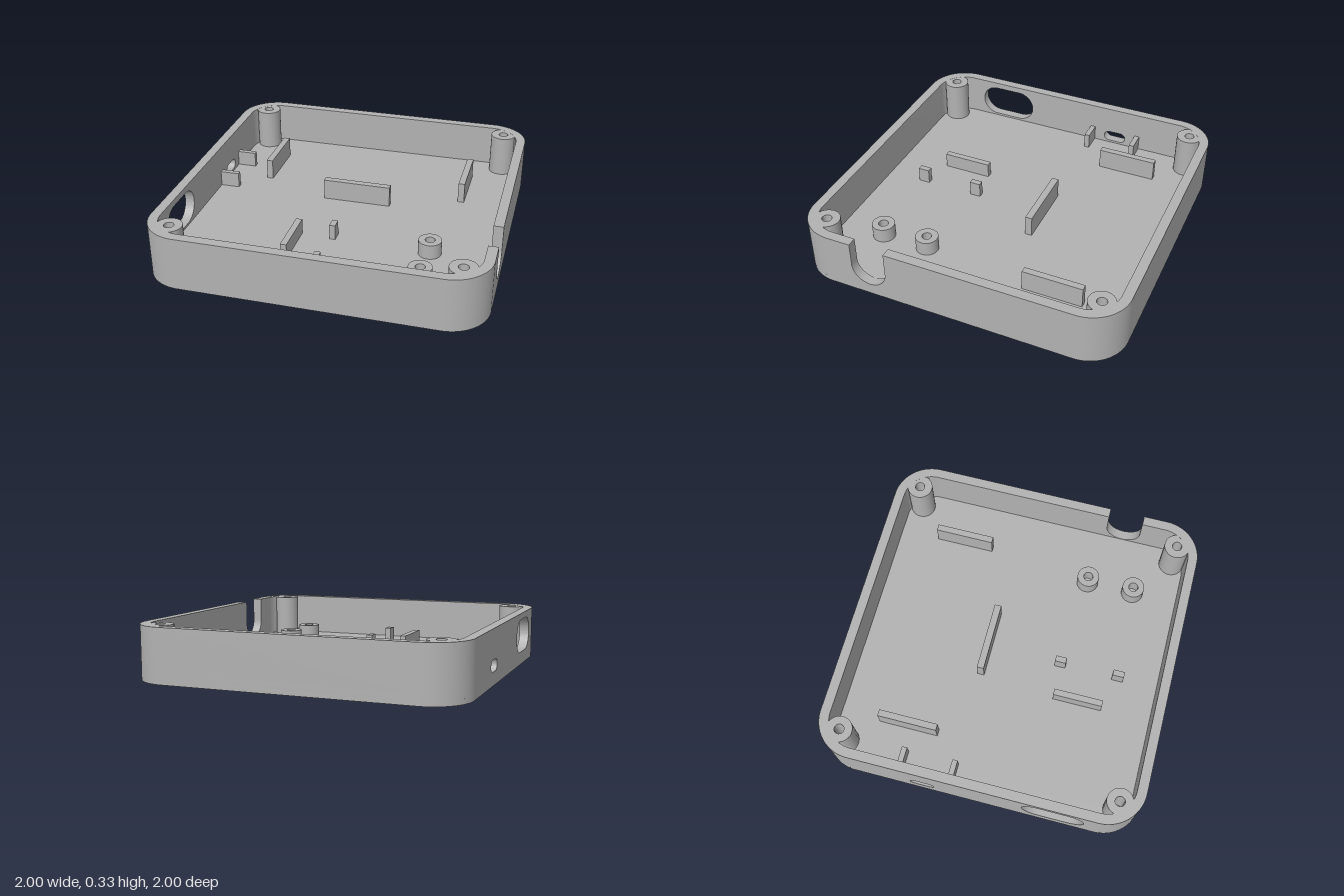
import * as THREE from 'three';
import { toCreasedNormals } from 'three/addons/utils/BufferGeometryUtils.js';

const H = 0.33, FLOOR = 0.065, GROOVE = 0.03, R = 0.24, WALL = 0.06, C = 1 - R;

export function createModel() {
  const model = new THREE.Group();
  const grey = new THREE.MeshStandardMaterial({ color: 0xb2b2b2 });
  grey.name = 'grey plastic';

  const add = (name, geometry, x = 0, y = 0, z = 0) => {
    const mesh = new THREE.Mesh(geometry, grey);
    mesh.name = name;
    mesh.position.set(x, y, z);
    model.add(mesh);
    return mesh;
  };
  const extrude = (shape, depth) => toCreasedNormals(
    new THREE.ExtrudeGeometry(shape, { depth, bevelEnabled: false, curveSegments: 24 }), 0.6);
  const plate = (shape, depth) => extrude(shape, depth).rotateX(-Math.PI / 2);
  const sidePlate = (shape) => extrude(shape, WALL).rotateY(Math.PI / 2); // shape x becomes -z

  const roundedSquare = () => {
    const s = new THREE.Shape();
    [[C, C], [-C, C], [-C, -C], [C, -C]].forEach(([x, y], i) =>
      s.absarc(x, y, R, i * Math.PI / 2, (i + 1) * Math.PI / 2));
    return s;
  };
  const slotHole = (x, y, halfStraight, r) => {
    const p = new THREE.Path();
    p.absarc(x + halfStraight, y, r, -Math.PI / 2, Math.PI / 2);
    p.absarc(x - halfStraight, y, r, Math.PI / 2, Math.PI * 1.5);
    p.closePath();
    return p;
  };

  // Base with a ring groove underneath
  const lower = roundedSquare();
  lower.holes.push(new THREE.Path().absarc(0, 0, 0.885, 0, Math.PI * 2));
  // more segments for the big circle
  add('baseRim', toCreasedNormals(new THREE.ExtrudeGeometry(lower,
    { depth: GROOVE, bevelEnabled: false, curveSegments: 48 }), 0.6).rotateX(-Math.PI / 2));
  add('baseDisc', new THREE.CylinderGeometry(0.677, 0.677, GROOVE, 96), 0, GROOVE / 2, 0);
  add('floor', plate(roundedSquare(), FLOOR - GROOVE), 0, GROOVE, 0);

  // Back and front walls with their rounded corners
  const end = new THREE.Shape();
  end.absarc(C, C, R, 0, Math.PI / 2);
  end.absarc(-C, C, R, Math.PI / 2, Math.PI);
  end.absarc(-C, C, R - WALL, Math.PI, Math.PI / 2, true);
  end.absarc(C, C, R - WALL, Math.PI / 2, 0, true);
  end.closePath();
  const endGeometry = plate(end, H - FLOOR);
  add('backWall', endGeometry, 0, FLOOR, 0);
  add('frontWall', endGeometry, 0, FLOOR, 0).rotation.y = Math.PI;

  // Left wall with a U notch open at the top
  const left = new THREE.Shape();
  left.moveTo(-C, FLOOR);
  left.lineTo(C, FLOOR);
  left.lineTo(C, H);
  left.lineTo(-0.39, H);
  left.absarc(-0.5, 0.18, 0.11, 0, -Math.PI, true);
  left.lineTo(-0.61, H);
  left.lineTo(-C, H);
  left.closePath();
  add('leftWall', sidePlate(left), 1 - WALL, 0, 0);

  // Right wall with a large and a small oblong opening
  const right = new THREE.Shape();
  right.moveTo(-C, FLOOR);
  right.lineTo(C, FLOOR);
  right.lineTo(C, H);
  right.lineTo(-C, H);
  right.closePath();
  right.holes.push(slotHole(-0.495, 0.185, 0.085, 0.105), slotHole(0.317, 0.115, 0.04, 0.035));
  add('rightWall', sidePlate(right), -1, 0, 0);

  // Hollow screw posts
  const post = (name, x, z, r, top) => {
    const profile = [[r, FLOOR], [r, top], [0.03, top], [0.03, FLOOR]]
      .map(([a, b]) => new THREE.Vector2(a, b));
    add(name, toCreasedNormals(new THREE.LatheGeometry(profile, 40), 0.6), x, 0, z);
  };
  for (const x of [-0.845, 0.845]) {
    for (const z of [-0.857, 0.857]) post('cornerPost', x, z, 0.08, H - 0.0005);
  }
  for (const z of [0.35, 0.65]) post('shortPost', 0.575, z, 0.07, 0.157);

  // Ribs and pegs on the floor: x range, z range, top
  const ribs = [
    ['longRib', -0.678, -0.637, -0.69, -0.317, 0.197],
    ['longRib', 0.632, 0.673, -0.69, -0.317, 0.197],
    ['centreRib', -0.22, 0.215, -0.183, -0.14, 0.197],
    ['frontRib', -0.263, -0.224, 0.32, 0.63, 0.16],
    ['peg', -0.045, -0.008, 0.278, 0.348, 0.16],
    ['peg', -0.045, -0.008, 0.65, 0.722, 0.16],
    ['wallRib', -0.945, -0.817, -0.493, -0.46, 0.163],
    ['wallRib', -0.945, -0.817, -0.173, -0.14, 0.163],
  ];
  for (const [name, x0, x1, z0, z1, top] of ribs) {
    add(name, new THREE.BoxGeometry(x1 - x0, top - FLOOR, z1 - z0),
      (x0 + x1) / 2, (top + FLOOR) / 2, (z0 + z1) / 2);
  }
  return model;
}
